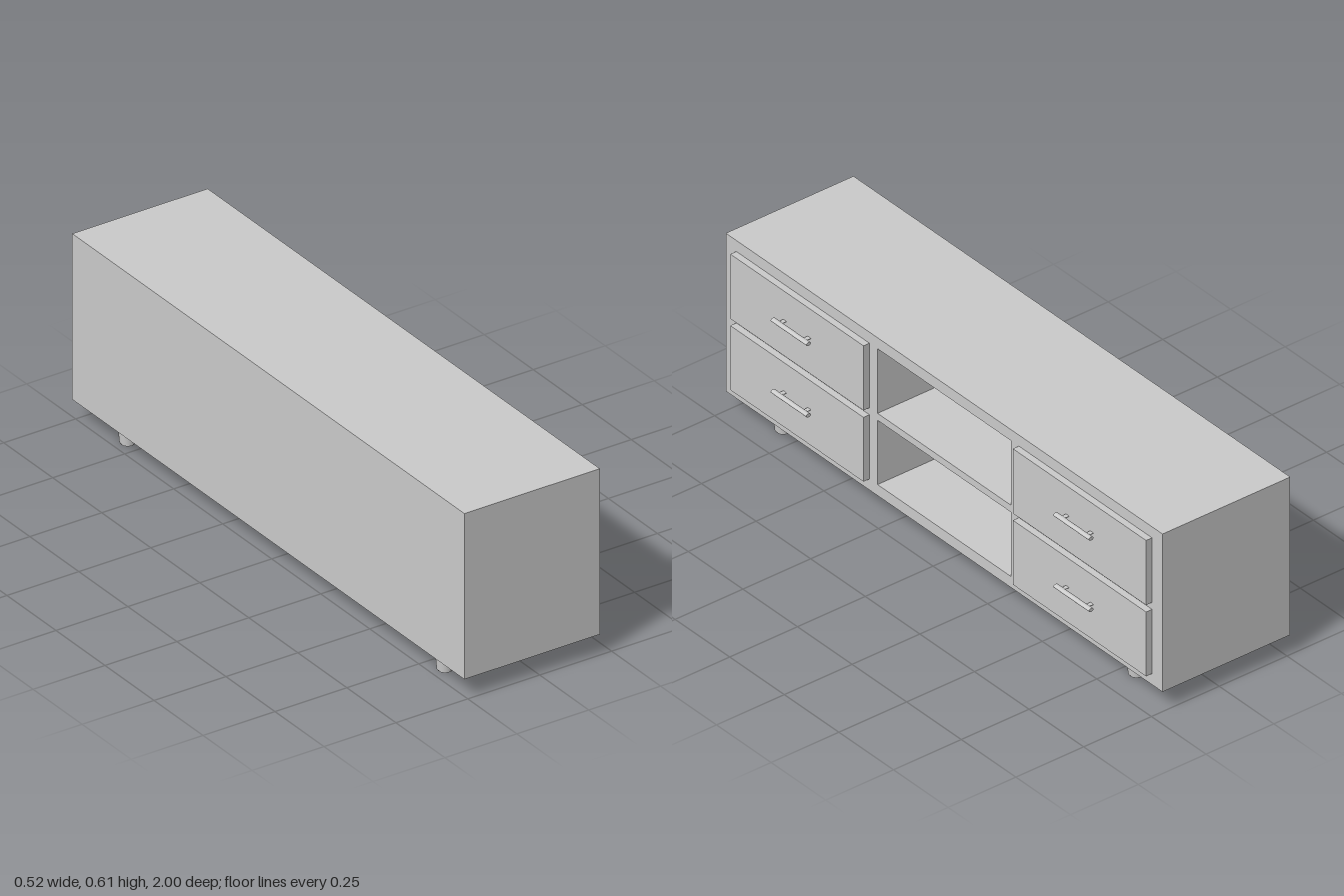
import * as THREE from 'three';

const material = new THREE.MeshStandardMaterial({ color: 0xcccccc });

function add(parent, name, geometry, x, y, z) {
  const mesh = new THREE.Mesh(geometry, material);
  mesh.name = name;
  mesh.position.set(x, y, z);
  parent.add(mesh);
  return mesh;
}

function rectangle(PathType, x0, y0, x1, y1) {
  const p = new PathType();
  p.moveTo(x0, y0);
  p.lineTo(x1, y0);
  p.lineTo(x1, y1);
  p.lineTo(x0, y1);
  p.closePath();
  return p;
}

const BACK = -0.262, FRONT = 0.209, BACK_PANEL = 0.03;
const BOTTOM = 0.068, TOP = 0.613;
const ROWS = [[0.106, 0.328], [0.352, 0.575]]; // lower and upper row heights

// Cabinet body with two open shelf bays in the middle
function createCabinet() {
  const outline = rectangle(THREE.Shape, -1, BOTTOM, 1, TOP);
  for (const [y0, y1] of ROWS) outline.holes.push(rectangle(THREE.Path, -0.305, y0, 0.305, y1));
  const depth = FRONT - BACK - BACK_PANEL;
  const carcass = new THREE.ExtrudeGeometry(outline, { depth, bevelEnabled: false });
  carcass.rotateY(Math.PI / 2);
  const cabinet = new THREE.Group();
  cabinet.name = 'cabinet';
  add(cabinet, 'carcass', carcass, BACK + BACK_PANEL, 0, 0);
  add(cabinet, 'backPanel', new THREE.BoxGeometry(BACK_PANEL, TOP - BOTTOM, 2),
    BACK + BACK_PANEL / 2, (TOP + BOTTOM) / 2, 0);
  return cabinet;
}

// Drawer front with an oval bar handle on two flat posts
function createDrawer(y0, y1, z) {
  const drawer = new THREE.Group();
  drawer.name = 'drawer';
  const thickness = 0.022, face = FRONT + thickness;
  add(drawer, 'drawerFront', new THREE.BoxGeometry(thickness, y1 - y0, 0.61),
    FRONT + thickness / 2, (y0 + y1) / 2, z);

  const y = (y0 + y1) / 2 + 0.011;
  const bar = new THREE.CylinderGeometry(1, 1, 0.163, 24).rotateX(Math.PI / 2).scale(0.0085, 0.006, 1);
  add(drawer, 'handleBar', bar, 0.2535, y, z);
  for (const side of [-1, 1]) {
    const post = new THREE.CylinderGeometry(1, 1, 0.02, 16).rotateZ(Math.PI / 2).scale(1, 0.002, 0.008);
    add(drawer, 'handlePost', post, face + 0.009, y, z + side * 0.056);
  }
  return drawer;
}

// Tapered round leg with a small recessed foot
function createLegGeometry() {
  const profile = [[0, 0], [0.022, 0], [0.022, 0.004], [0.0245, 0.004], [0.03, BOTTOM], [0, BOTTOM]];
  // Doubled corners keep the turned edges sharp
  const points = profile.flatMap(([r, y]) => [new THREE.Vector2(r, y), new THREE.Vector2(r, y)]);
  return new THREE.LatheGeometry(points.slice(1, -1), 32);
}

export function createModel() {
  const model = new THREE.Group();
  model.name = 'mediaCabinet';
  model.add(createCabinet());

  for (const [y0, y1] of ROWS)
    for (const side of [-1, 1]) model.add(createDrawer(y0, y1, side * 0.647));

  const leg = createLegGeometry();
  for (const x of [-0.205, 0.144])
    for (const z of [-0.8, 0.818]) add(model, 'leg', leg, x, 0, z);

  return model;
}
